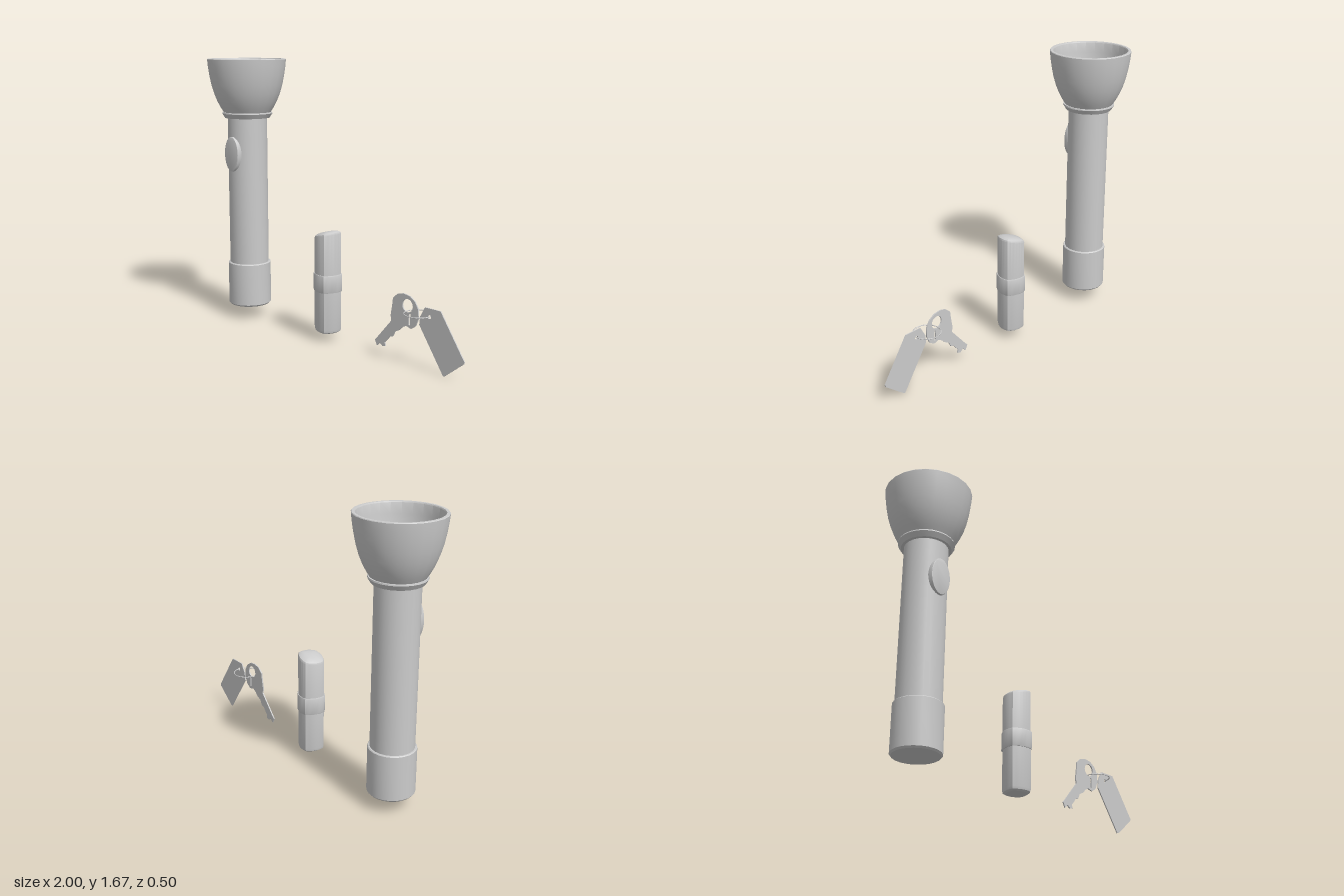
import * as THREE from 'three';
import { toCreasedNormals } from 'three/addons/utils/BufferGeometryUtils.js';

const material = new THREE.MeshStandardMaterial({ color: 0xcccccc });

function part(name, geometry, crease = 0.5) {
  const mesh = new THREE.Mesh(toCreasedNormals(geometry, crease), material);
  mesh.name = name;
  return mesh;
}

// Turned part from [radius, y] pairs, running upwards along the outside
function turned(name, points) {
  return part(name, new THREE.LatheGeometry(points.map(([r, y]) => new THREE.Vector2(r, y)), 24));
}

// Flat plate centred on z = 0 from an outline and its holes
function plate(name, outline, holes, thickness) {
  const shape = new THREE.Shape(outline.map(([x, y]) => new THREE.Vector2(x, y)));
  shape.holes = holes;
  const geometry = new THREE.ExtrudeGeometry(shape, { depth: thickness, bevelEnabled: false, curveSegments: 16 });
  geometry.translate(0, 0, -thickness / 2);
  return part(name, geometry);
}

function roundHole(x, y, r) {
  return new THREE.Path().absarc(x, y, r, 0, Math.PI * 2, true);
}

// Square section with bulging sides, lofted through [scale, y, slope] rings
function bulgedPrism(name, rings) {
  const perSide = 6, count = perSide * 4, corner = 0.083, bulge = 0.016;
  const positions = [], index = [];
  const turn = THREE.MathUtils.degToRad(29);
  for (const [scale, y, slope = 0] of rings) {
    for (let k = 0; k < count; k++) {
      const side = Math.floor(k / perSide), t = (k % perSide) / perSide;
      const a = turn + side * Math.PI / 2, b = a + Math.PI / 2, mid = (a + b) / 2;
      const out = bulge * 4 * t * (1 - t);
      const x = scale * (corner * ((1 - t) * Math.sin(a) + t * Math.sin(b)) + out * Math.sin(mid));
      const z = scale * (corner * ((1 - t) * Math.cos(a) + t * Math.cos(b)) + out * Math.cos(mid));
      positions.push(x, y + slope * x, z);
    }
  }
  for (let i = 0; i < rings.length - 1; i++) {
    for (let k = 0; k < count; k++) {
      const a = i * count + k, b = i * count + (k + 1) % count;
      index.push(a, b, b + count, a, b + count, a + count);
    }
  }
  const geometry = new THREE.BufferGeometry();
  geometry.setAttribute('position', new THREE.Float32BufferAttribute(positions, 3));
  geometry.setIndex(index);
  return part(name, geometry, 0.42);
}

function createFlashlight() {
  const group = new THREE.Group();
  group.name = 'flashlight';
  group.add(
    turned('tailCap', [[0, 0.09], [0.128, 0.09], [0.137, 0.1], [0.137, 0.365], [0.132, 0.37], [0.12, 0.37]]),
    turned('barrel', [[0.125, 0.36], [0.125, 1.32]]),
    turned('collar', [[0.12, 1.305], [0.142, 1.305], [0.16, 1.333], [0.158, 1.341], [0.14, 1.341]]),
    // Bowl outside, over the rim, then down the inside to the lens
    turned('head', [
      [0.146, 1.335], [0.168, 1.37], [0.19, 1.412], [0.209, 1.46], [0.225, 1.515], [0.237, 1.575],
      [0.245, 1.63], [0.249, 1.672], [0.246, 1.676], [0.231, 1.676], [0.227, 1.67], [0.221, 1.61], [0.214, 1.555],
    ]),
  );

  const lens = part('lens', new THREE.CircleGeometry(0.215, 24).rotateX(-Math.PI / 2));
  lens.position.y = 1.556;
  group.add(lens);

  // Oval switch sunk into the barrel
  const oval = new THREE.Shape().absellipse(0, 0, 0.06, 0.105, 0, Math.PI * 2);
  const button = part('switchButton', new THREE.ExtrudeGeometry(oval, {
    depth: 0.05, bevelThickness: 0.005, bevelSize: 0.005, bevelSegments: 2, curveSegments: 20,
  }));
  button.position.set(0, 1.08, 0.083);
  group.add(button);

  group.position.x = -0.753;
  return group;
}

function createLipstick() {
  const group = new THREE.Group();
  group.name = 'lipstick';
  group.add(
    bulgedPrism('tubeBase', [[0, 0.055], [0.8, 0.055], [0.95, 0.063], [1, 0.078], [1, 0.32]]),
    bulgedPrism('middleBand', [[0.98, 0.31], [1.05, 0.31], [1.08, 0.316], [1.08, 0.41], [1.05, 0.416], [0.98, 0.416]]),
    // Cap with a slanted, domed end
    bulgedPrism('slantedCap', [
      [1, 0.4], [1, 0.646, 0.24], [0.95, 0.656, 0.24], [0.8, 0.664, 0.24], [0.5, 0.67, 0.24], [0, 0.672],
    ]),
  );
  group.position.x = -0.027;
  return group;
}

function createKeyring() {
  const group = new THREE.Group();
  group.name = 'keyring';

  // Key: round bow, then the bitted shaft and its tip
  const keyOutline = [
    [0.49, 0.33], [0.495, 0.37], [0.527, 0.398], [0.57, 0.409], [0.618, 0.402], [0.655, 0.377],
    [0.677, 0.34], [0.681, 0.286], [0.66, 0.238], [0.628, 0.217], [0.591, 0.227], [0.564, 0.211],
    [0.543, 0.19], [0.511, 0.174], [0.495, 0.142], [0.473, 0.136], [0.452, 0.11], [0.436, 0.094],
    [0.441, 0.072], [0.42, 0.067], [0.398, 0.083], [0.377, 0.062], [0.361, 0.094], [0.377, 0.11],
    [0.484, 0.233], [0.479, 0.265],
  ].reverse();
  const slot = new THREE.Path([
    [0.612, 0.297], [0.623, 0.302], [0.623, 0.233], [0.612, 0.238],
  ].map(([x, y]) => new THREE.Vector2(x, y)));
  group.add(plate('key', keyOutline, [roundHole(0.602, 0.345, 0.038), slot], 0.008));

  // Tag with clipped corners and a small eyelet
  const tagOutline = [
    [0.725, 0.361], [0.692, 0.302], [0.687, 0.254], [0.858, 0.003], [0.87, 0.006],
    [0.993, 0.104], [0.997, 0.118], [0.832, 0.361],
  ];
  group.add(plate('tag', tagOutline, [roundHole(0.757, 0.313, 0.011)], 0.007));

  const ring = part('splitRing', new THREE.TorusGeometry(0.08, 0.003, 8, 40).rotateX(Math.PI / 2), 1);
  ring.position.set(0.676, 0.313, 0);
  group.add(ring);
  return group;
}

export function createModel() {
  const model = new THREE.Group();
  model.name = 'flashlightLipstickAndKeys';
  model.add(createFlashlight(), createLipstick(), createKeyring());
  return model;
}
